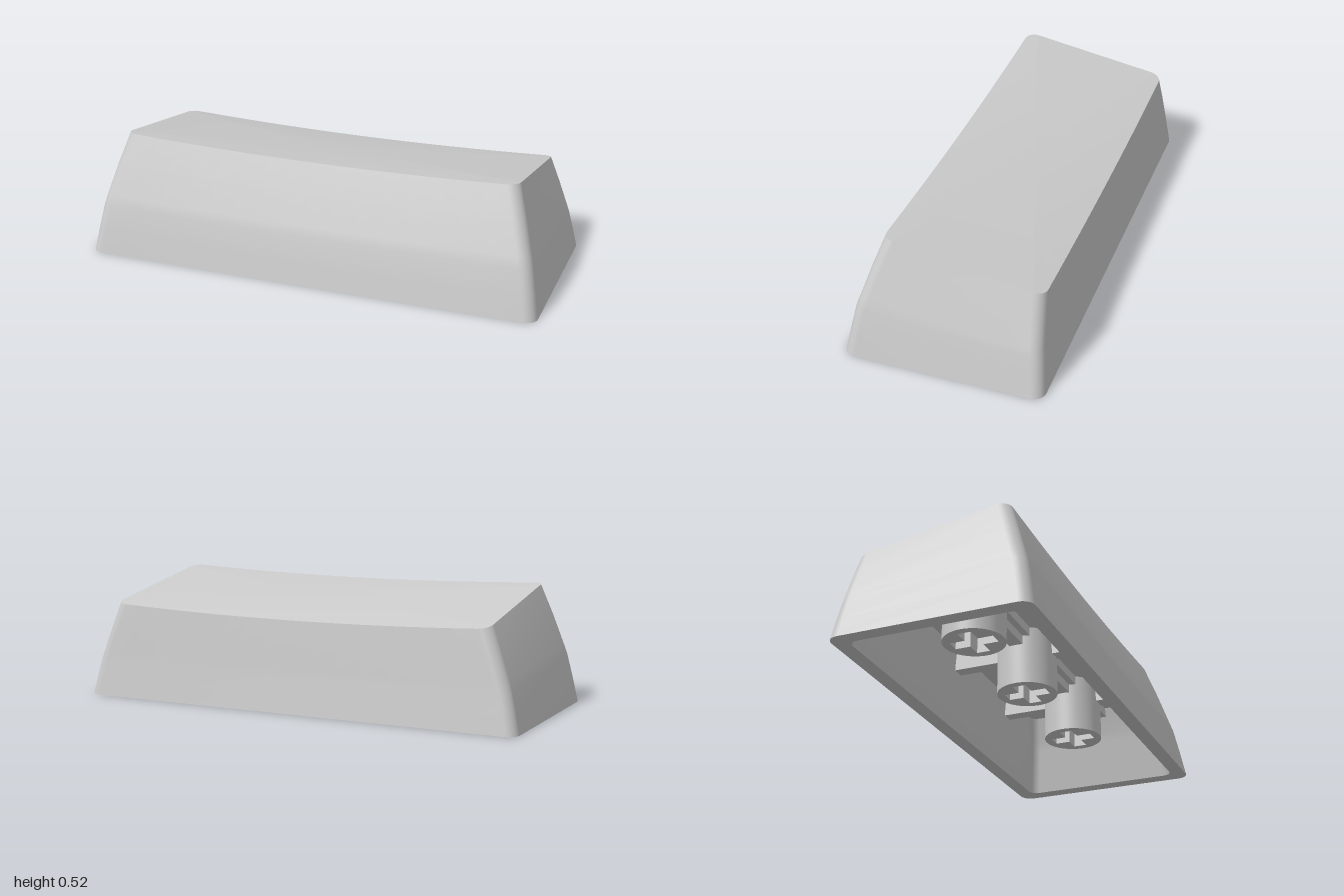
import * as THREE from 'three';
import { toCreasedNormals } from 'three/addons/utils/BufferGeometryUtils.js';

const material = new THREE.MeshStandardMaterial({ color: 0xcccccc });
const WALL = 0.065;
const CEILING = 0.36;

// Wall profile: height fraction, half width, front z, back z, corner radius
const PROFILE = [
  [0, 1, 0.425, -0.425, 0.05],
  [0.2, 0.981, 0.405, -0.416, 0.05],
  [0.4, 0.96, 0.383, -0.407, 0.05],
  [0.48, 0.949, 0.369, -0.404, 0.05],
  [0.74, 0.911, 0.325, -0.395, 0.05],
  [1, 0.87, 0.278, -0.385, 0.05],
];

// Sloping top, dished across its width
const topY = (x, z) => 0.487 + 0.16 * z - 0.1 * z * z - 0.022 * (1 - (x / 0.87) ** 2);

// Rounded rectangle in the xz plane, with extra points along the long sides
function outline(halfW, front, back, r) {
  const pts = [];
  const corners = [[1, front - r, 0], [-1, front - r, 1], [-1, back + r, 2], [1, back + r, 3]];
  for (const [sx, cz, quarter] of corners) {
    const cx = sx * (halfW - r);
    for (let i = 0; i <= 5; i++) {
      const a = (quarter + i / 5) * Math.PI / 2;
      pts.push([cx + r * Math.cos(a), cz + r * Math.sin(a)]);
    }
    if (quarter % 2 === 0) { // long side follows this corner
      const z = quarter === 0 ? front : back;
      for (let i = 1; i < 16; i++) pts.push([cx * (1 - i / 8), z]);
    }
  }
  return pts;
}

// Skin between closed rings of [x, y, z] points
function loft(rings) {
  const n = rings[0].length;
  const index = [];
  for (let i = 0; i < rings.length - 1; i++) {
    for (let j = 0; j < n; j++) {
      const k = (j + 1) % n;
      const a = i * n + j, b = i * n + k, c = a + n, d = b + n;
      index.push(a, c, b, b, c, d);
    }
  }
  const geo = new THREE.BufferGeometry();
  geo.setAttribute('position', new THREE.Float32BufferAttribute(rings.flat(2), 3));
  geo.setIndex(index);
  geo.computeVertexNormals();
  return geo;
}

// Rings shrinking towards the middle of an outline
function fill(pts, heightAt, steps) {
  const zs = pts.map((p) => p[1]);
  const zc = (Math.min(...zs) + Math.max(...zs)) / 2;
  return Array.from({ length: steps + 1 }, (_, i) => pts.map(([x, z]) => {
    const s = 1 - i / steps;
    const px = x * s, pz = zc + (z - zc) * s;
    return [px, heightAt(px, pz), pz];
  }));
}

export function createModel() {
  const group = new THREE.Group();
  const add = (name, geo) => {
    const mesh = new THREE.Mesh(geo, material);
    mesh.name = name;
    group.add(mesh);
    return mesh;
  };

  // Outer shell
  const outer = PROFILE.map(([t, w, f, b, r]) =>
    outline(w, f, b, r).map(([x, z]) => [x, t * topY(x, z), z]));
  add('outerWalls', loft(outer));
  const topEdge = outer[outer.length - 1].map(([x, , z]) => [x, z]);
  add('dishedTop', loft(fill(topEdge, topY, 10)));

  // Hollow underside
  const inner = [
    [0, 1, 0.425, -0.425],
    [0.2, 0.96, 0.385, -0.406],
    [0.25, 0.95, 0.369, -0.402],
    [CEILING, 0.917, 0.333, -0.392],
  ].map(([y, w, f, b]) =>
    outline(w - WALL, f - WALL, b + WALL, 0.04).map(([x, z]) => [x, y, z]));
  add('bottomRim', loft([inner[0], outer[0]]));
  add('innerWalls', loft([...inner].reverse()));
  const ceilingEdge = inner[3].map(([x, , z]) => [x, z]);
  add('innerCeiling', loft(fill(ceilingEdge, () => CEILING, 2).reverse()));

  // Round stem with a cross-shaped socket
  const stemShape = new THREE.Shape();
  stemShape.absarc(0, 0, 0.131, 0, Math.PI * 2, false);
  const L = 0.095, S = 0.029;
  const cross = [[L, S], [S, S], [S, L], [-S, L], [-S, S], [-L, S],
    [-L, -S], [-S, -S], [-S, -L], [S, -L], [S, -S], [L, -S]];
  stemShape.holes.push(new THREE.Path(cross.map(([x, y]) => new THREE.Vector2(x, y))));
  const stemGeo = toCreasedNormals(new THREE.ExtrudeGeometry(stemShape, {
    depth: CEILING - 0.1, bevelEnabled: false, curveSegments: 24,
  }).rotateX(-Math.PI / 2), 0.6);

  // Ribs hang from the ceiling, split so they stay out of the sockets
  const rib = (name, x0, x1, z0, z1, y0) => add(name,
    new THREE.BoxGeometry(x1 - x0, CEILING + 0.01 - y0, z1 - z0)
      .translate((x0 + x1) / 2, (CEILING + 0.01 + y0) / 2, (z0 + z1) / 2));

  for (const x of [-0.56, 0, 0.56]) {
    add('stem', stemGeo).position.set(x, 0.1, 0);
    rib('frontRib', x - 0.03, x + 0.03, 0.12, 0.3, 0.26);
    rib('backRib', x - 0.03, x + 0.03, -0.335, -0.12, 0.26);
  }
  for (const [x0, x1] of [[-0.87, -0.68], [-0.44, -0.12], [0.12, 0.44], [0.68, 0.87]]) {
    rib('lengthwiseRib', x0, x1, -0.03, 0.03, 0.28);
    rib('lengthwiseRibStep', x0, x1, -0.06, 0.06, 0.32);
  }
  return group;
}
